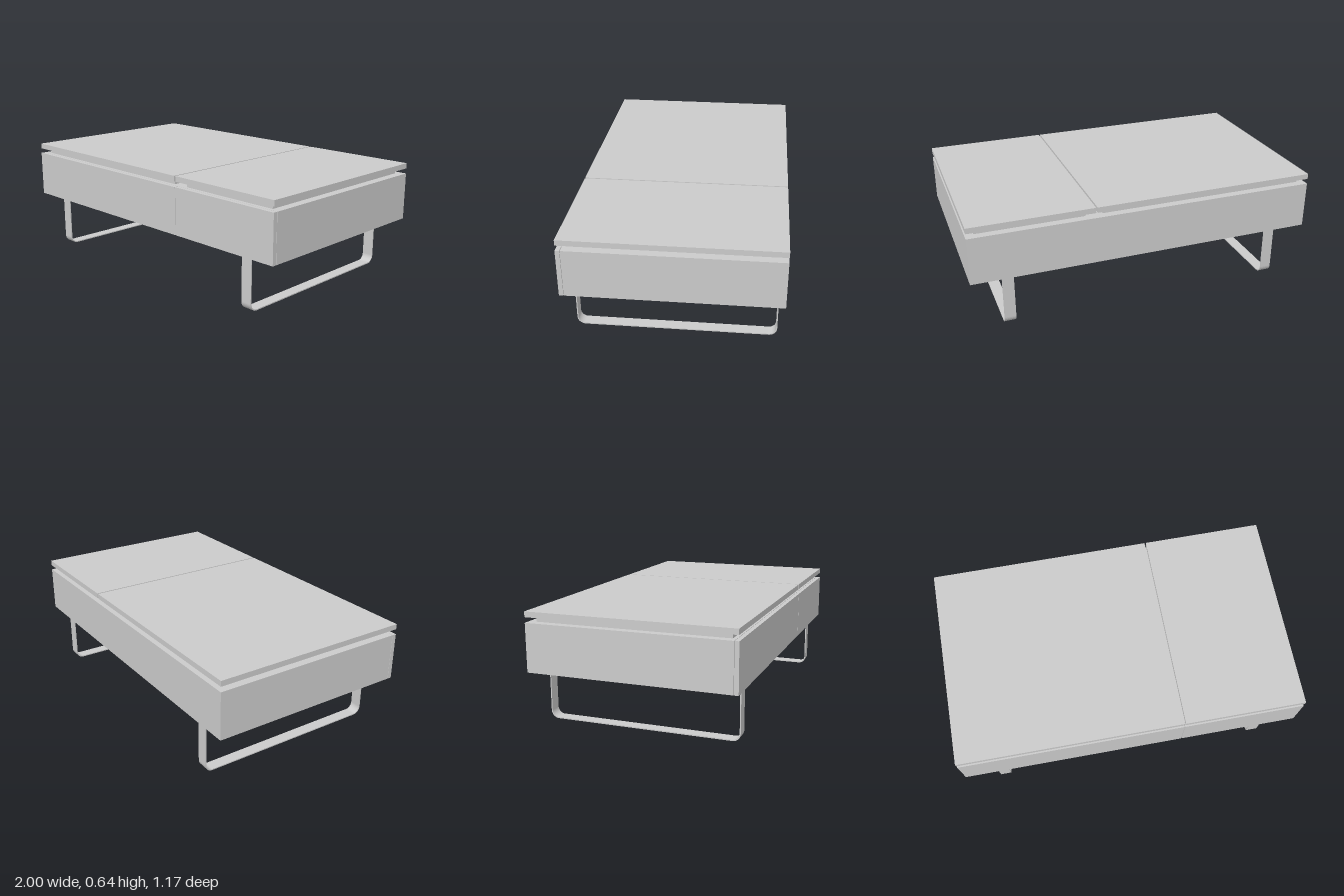
import * as THREE from 'three';

const grey = new THREE.MeshStandardMaterial({ color: 0xcccccc, flatShading: true });

// Box given by its extents along each axis
function block(name, [x0, x1], [y0, y1], [z0, z1]) {
  const mesh = new THREE.Mesh(new THREE.BoxGeometry(x1 - x0, y1 - y0, z1 - z0), grey);
  mesh.position.set((x0 + x1) / 2, (y0 + y1) / 2, (z0 + z1) / 2);
  mesh.name = name;
  return mesh;
}

// Flat steel strip bent into a U, extruded across its width
function sledLeg(name, x) {
  const width = 0.065, half = 0.549, top = 0.302, t = 0.006, r = 0.045;
  const s = new THREE.Shape();
  s.moveTo(-half, top);
  s.lineTo(-half, r);
  s.absarc(-half + r, r, r, Math.PI, Math.PI * 1.5, false);
  s.lineTo(half - r, 0);
  s.absarc(half - r, r, r, -Math.PI / 2, 0, false);
  s.lineTo(half, top);
  s.lineTo(half - t, top);
  s.lineTo(half - t, r);
  s.absarc(half - r, r, r - t, 0, -Math.PI / 2, true);
  s.lineTo(-half + r, t);
  s.absarc(-half + r, r, r - t, Math.PI * 1.5, Math.PI, true);
  s.lineTo(-half + t, top);
  s.closePath();
  const geo = new THREE.ExtrudeGeometry(s, { depth: width, bevelEnabled: false, curveSegments: 8 });
  geo.translate(0, 0, -width / 2).rotateY(Math.PI / 2);
  const mesh = new THREE.Mesh(geo, grey);
  mesh.position.set(x, 0, -0.004);
  mesh.name = name;
  return mesh;
}

export function createModel() {
  const table = new THREE.Group();
  table.name = 'coffeeTable';

  // Storage case with two front panels
  const caseY = [0.306, 0.576];
  table.add(block('case', [-1, 1], caseY, [-0.583, 0.557]));
  table.add(block('frontPanelWide', [-1, 0.301], caseY, [0.559, 0.583]));
  table.add(block('frontPanelNarrow', [0.304, 1], caseY, [0.559, 0.583]));

  // Two table tops, each on a recessed spacer
  const tops = [
    { side: 'Wide', top: [-1, 0.295], spacer: [-0.955, 0.252] },
    { side: 'Narrow', top: [0.304, 1], spacer: [0.35, 0.953] },
  ];
  for (const { side, top, spacer } of tops) {
    table.add(block('spacer' + side, spacer, [0.576, 0.606], [-0.539, 0.537]));
    table.add(block('top' + side, top, [0.606, 0.637], [-0.583, 0.581]));
  }

  // Sled legs with mounting plates
  for (const [name, x] of [['Left', 0.794], ['Right', -0.791]]) {
    table.add(sledLeg('leg' + name, x));
    table.add(block('frontPlate' + name, [x - 0.06, x + 0.06], [0.301, 0.306], [0.48, 0.545]));
    table.add(block('backPlate' + name, [x - 0.06, x + 0.06], [0.301, 0.306], [-0.553, -0.492]));
  }
  return table;
}
